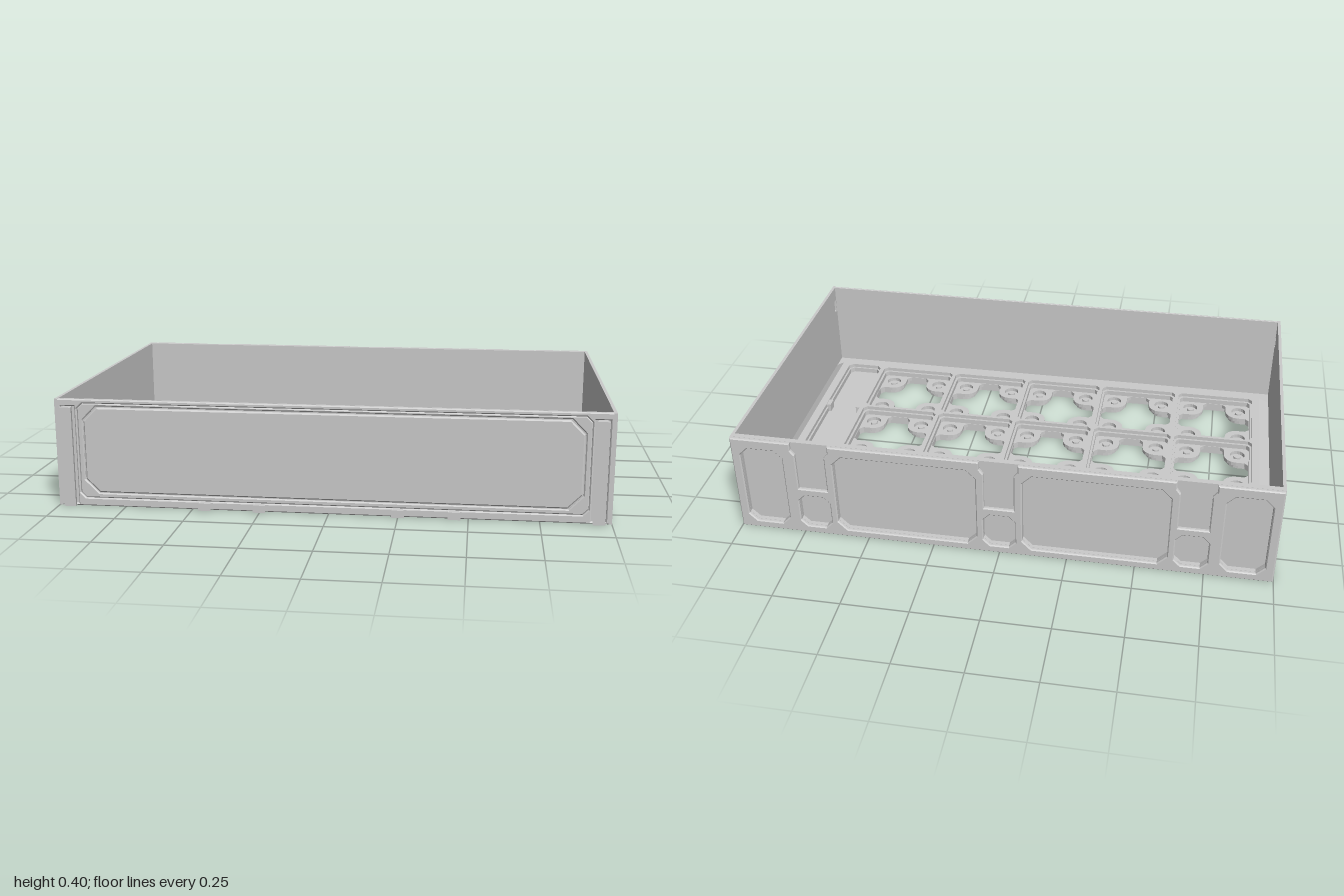
import * as THREE from 'three';

const mat = new THREE.MeshStandardMaterial({ color: 0xcccccc, flatShading: true });
const V = (x, y) => new THREE.Vector2(x, y);
const rect = (x0, y0, x1, y1) => [V(x0, y0), V(x1, y0), V(x1, y1), V(x0, y1)];
// rectangle with cut corners
const octagon = (x0, y0, x1, y1, c) => [V(x0 + c, y0), V(x1 - c, y0), V(x1, y0 + c), V(x1, y1 - c),
  V(x1 - c, y1), V(x0 + c, y1), V(x0, y1 - c), V(x0, y0 + c)];
// enlarge an outline around its centre by a margin on each side
function grow(pts, m) {
  const b = new THREE.Box2().setFromPoints(pts), c = b.getCenter(V(0, 0)), s = b.getSize(V(0, 0));
  return pts.map(p => V(c.x + (p.x - c.x) * (1 + 2 * m / s.x), c.y + (p.y - c.y) * (1 + 2 * m / s.y)));
}
// plate from z = 0 to z = depth, with an optional bevel on its edges
function slab(outline, holes, depth, bevel = 0) {
  const shape = new THREE.Shape(outline);
  shape.holes = holes.map(h => new THREE.Path(h));
  return new THREE.ExtrudeGeometry(shape, { depth: depth - 2 * bevel, bevelEnabled: bevel > 0,
    bevelThickness: bevel, bevelSize: bevel, bevelOffset: -bevel, bevelSegments: 1 }).translate(0, 0, bevel);
}
function add(parent, name, geo) {
  const m = new THREE.Mesh(geo, mat);
  m.name = name;
  parent.add(m);
  return m;
}
// horizontal slab: outline in (x, -z), resting at height y
const flat = (parent, name, outline, holes, y, h) =>
  add(parent, name, slab(outline, holes, h).rotateX(-Math.PI / 2).translate(0, y, 0));
function box(parent, name, x0, x1, y0, y1, z0, z1) {
  return add(parent, name, new THREE.BoxGeometry(x1 - x0, y1 - y0, z1 - z0)
    .translate((x0 + x1) / 2, (y0 + y1) / 2, (z0 + z1) / 2));
}
// cross-shaped opening left between four rounded corner pads
function crossHole(cx, cy, h, p) {
  const pts = [], k = h - p, r = 0.05, f = 0.015;
  for (let q = 0; q < 4; q++) {
    const corner = [V(h, -k + f), V(h, k - f), V(h - f, k)];
    for (let i = 0; i <= 4; i++) {
      const a = -Math.PI / 2 - i * Math.PI / 8;
      corner.push(V(k + r + r * Math.cos(a), k + r + r * Math.sin(a)));
    }
    corner.push(V(k, h - f));
    corner.forEach(v => pts.push(v.rotateAround(V(0, 0), q * Math.PI / 2).add(V(cx, cy))));
  }
  return pts;
}
const circle = (cx, cy, r) => Array.from({ length: 16 }, (_, i) =>
  V(cx + r * Math.cos(i * Math.PI / 8), cy + r * Math.sin(i * Math.PI / 8)));

const FRONT = 0.612, BACK = -0.635;

function buildFloor(parent) {
  const g = new THREE.Group();
  g.name = 'floor';
  parent.add(g);
  const wideCrosses = [], crosses = [], magnets = [], cells = [], wideCells = [];
  for (let i = 0; i < 5; i++) for (let j = 0; j < 3; j++) {
    const x = -0.755 + i * 0.335, y = 0.34 - j * 0.333;
    wideCrosses.push(crossHole(x, y, 0.152, 0.092));
    crosses.push(crossHole(x, y, 0.149, 0.1));
    cells.push(octagon(x - 0.151, y - 0.151, x + 0.151, y + 0.151, 0.012));
    wideCells.push(octagon(x - 0.16, y - 0.16, x + 0.16, y + 0.16, 0.015));
    for (const sx of [-1, 1]) for (const sy of [-1, 1]) {
      const cx = x + sx * 0.104, cy = y + sy * 0.104;
      magnets.push(circle(cx, cy, 0.03));
      add(g, 'magnetSeatBoss', new THREE.CylinderGeometry(0.014, 0.014, 0.01, 12).translate(cx, 0.025, -cy));
    }
  }
  const base = rect(-0.99, -0.6, 0.99, 0.603);
  flat(g, 'floorBottom', base, wideCrosses, 0, 0.02);
  flat(g, 'floorPads', base, [...crosses, ...magnets], 0.02, 0.015);
  // dividing ridges, narrower towards the top
  const raised = rect(-0.945, -0.498, 0.945, 0.515);
  cells.push(octagon(0.77, -0.485, 0.905, 0.495, 0.015));
  wideCells.push(octagon(0.763, -0.492, 0.912, 0.502, 0.018));
  flat(g, 'ridgeLower', raised, cells, 0.035, 0.02);
  flat(g, 'ridgeUpper', raised, wideCells, 0.055, 0.015);
  // pinches along the narrow side compartment
  for (const z of [-0.175, 0.16]) for (const x of [0.768, 0.907])
    box(g, 'compartmentPinch', x - 0.013, x + 0.013, 0.035, 0.068, z - 0.02, z + 0.02);
  // border sloping down from the ridges to the ledge beside the walls
  const hi = [[-0.945, 0.498], [0.945, 0.498], [0.945, -0.515], [-0.945, -0.515]];
  const lo = [[-0.99, 0.525], [0.99, 0.525], [0.99, -0.54], [-0.99, -0.54]];
  const pos = [];
  for (let i = 0; i < 4; i++) {
    const n = (i + 1) % 4, P = (a, y) => [a[0], y, a[1]];
    pos.push(...P(hi[i], 0.07), ...P(lo[i], 0.035), ...P(lo[n], 0.035),
      ...P(hi[i], 0.07), ...P(lo[n], 0.035), ...P(hi[n], 0.07));
  }
  const slope = new THREE.BufferGeometry();
  slope.setAttribute('position', new THREE.Float32BufferAttribute(pos, 3));
  slope.computeVertexNormals();
  add(g, 'slopingBorder', slope);
}

// side wall with grooved panel and small slot, built for +x
function buildSide() {
  const g = new THREE.Group();
  g.name = 'sideWall';
  const outer = rect(BACK + 0.013, 0, FRONT, 0.4);
  const slot = rect(0.57, 0.287, 0.593, 0.34);
  const panel = [V(0.34, 0.04), V(0.54, 0.24), V(0.54, 0.283), V(0.478, 0.347),
    V(-0.597, 0.347), V(-0.597, 0.09), V(-0.54, 0.04)];
  const place = (name, geo, x) => add(g, name, geo.rotateY(-Math.PI / 2).translate(x, 0, 0));
  // depth runs inwards from the outer face
  place('sideFrame', slab(outer, [grow(panel, 0.006), slot], 0.007), 1);
  place('sidePanel', slab(panel, [], 0.007, 0.003), 1);
  place('sideSheet', slab(outer, [slot], 0.007), 0.995);
  return g;
}

function buildFront(parent) {
  const g = new THREE.Group();
  g.name = 'frontWall';
  parent.add(g);
  const panel = octagon(-0.895, 0.052, 0.895, 0.37, 0.05);
  const field = octagon(-0.918, 0.03, 0.918, 0.385, 0.02);
  const grooves = [-1, 1].map(s => rect(s * 0.953 - 0.026, 0.008, s * 0.953 + 0.026, 0.374));
  const place = (name, geo, z) => add(g, name, geo.translate(0, 0, z));
  place('frontSheet', slab(rect(-0.99, 0, 0.99, 0.4), [], 0.004), 0.596);
  place('frontField', slab(field, [grow(panel, 0.004)], 0.01, 0.004), 0.598);
  place('frontPanel', slab(panel, [], 0.013, 0.005), 0.598);
  place('frontFrame', slab(rect(-0.995, 0, 0.995, 0.4), [field, ...grooves], 0.014, 0.004), 0.598);
  // dovetail rails and clips, wider at the outside
  const dovetail = (name, x, w, h) => flat(g, name,
    [V(x - w, -0.634), V(x + w, -0.634), V(x + w * 0.6, -0.6), V(x - w * 0.6, -0.6)], [], 0.003, h);
  for (const s of [-1, 1]) {
    dovetail('dovetailRail', s * 0.953, 0.022, 0.37);
    for (const x of [0.25, 0.45]) dovetail('dovetailClip', s * x, 0.023, 0.027);
  }
}

function buildBack(parent) {
  const g = new THREE.Group();
  g.name = 'backWall';
  parent.add(g);
  const pockets = [];
  for (const s of [-1, 1]) {
    pockets.push(octagon(s * 0.885 - 0.08, 0.03, s * 0.885 + 0.08, 0.36, 0.03));
    pockets.push(octagon(s * 0.35 - 0.265, 0.03, s * 0.35 + 0.265, 0.36, 0.035));
  }
  for (const x of [-0.7, 0, 0.7]) pockets.push(octagon(x - 0.06, 0.03, x + 0.06, 0.17, 0.025));
  // outer lip carries three slots open at the top
  const lip = [V(-0.998, 0), V(0.998, 0), V(0.998, 0.4)];
  for (const x of [0.7, 0, -0.7])
    lip.push(V(x + 0.07, 0.4), V(x + 0.07, 0.37), V(x + 0.055, 0.35), V(x + 0.055, 0.2),
      V(x - 0.055, 0.2), V(x - 0.055, 0.35), V(x - 0.07, 0.37), V(x - 0.07, 0.4));
  lip.push(V(-0.998, 0.4));
  add(g, 'backLip', slab(lip, pockets, 0.017, 0.004).translate(0, 0, BACK));
  add(g, 'backRibs', slab(rect(-0.99, 0, 0.99, 0.4), pockets, 0.017).translate(0, 0, BACK + 0.014));
  box(g, 'backSheet', -0.99, 0.99, 0, 0.4, -0.605, -0.6);
}

export function createModel() {
  const model = new THREE.Group();
  model.name = 'storageTray';
  buildFloor(model);
  buildFront(model);
  buildBack(model);
  const left = buildSide(), right = buildSide();
  left.name = 'leftWall';
  right.name = 'rightWall';
  right.scale.x = -1;
  model.add(left, right);
  return model;
}
